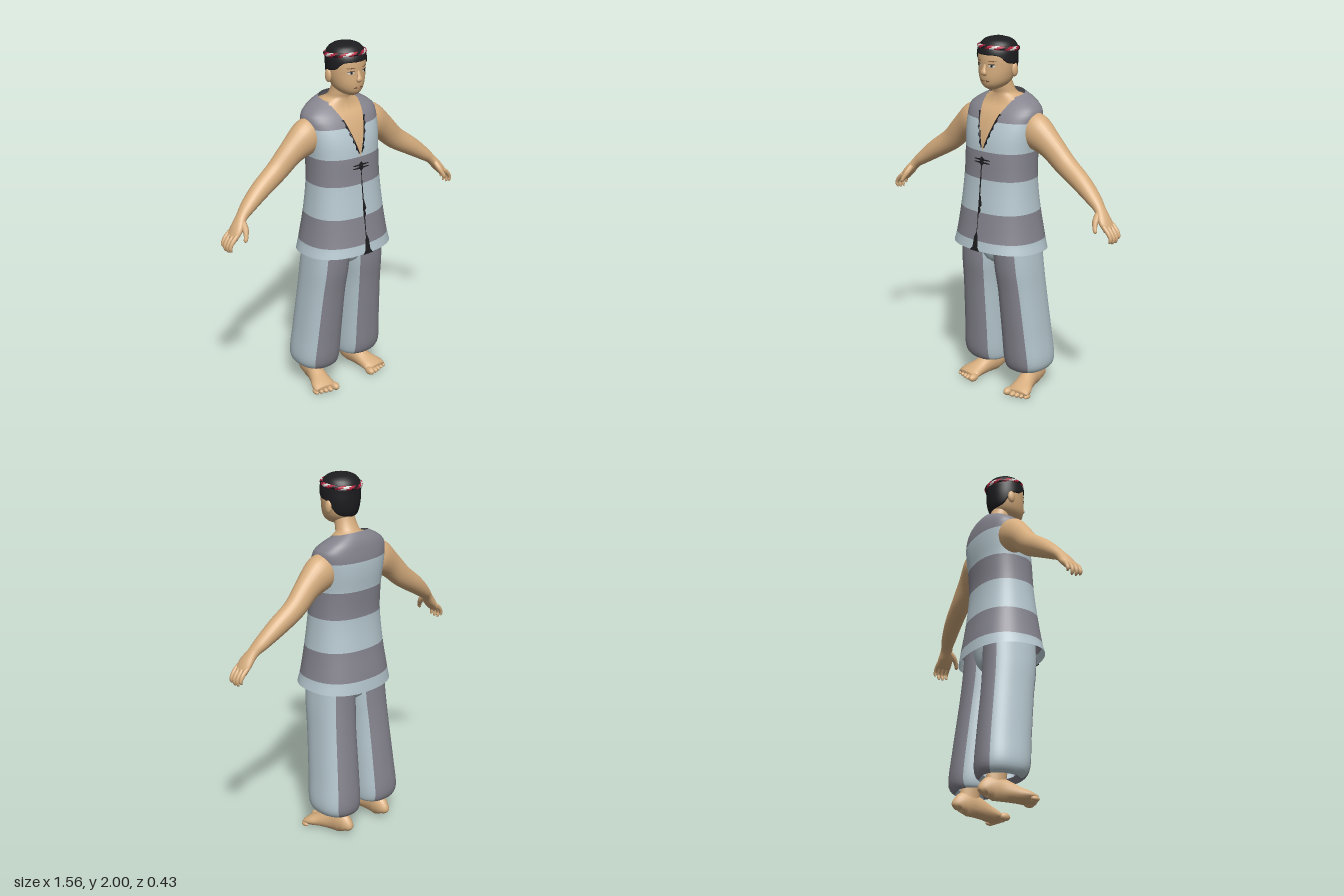
import * as THREE from 'three';

const mat = (name, color, double) => {
  const m = new THREE.MeshStandardMaterial({ color });
  m.name = name;
  if (double) m.side = THREE.DoubleSide;
  return m;
};
const M = {
  skin: mat('skin', 0xd6ad7e),
  light: mat('light cloth', 0xb5c7ce, true),
  dark: mat('grey cloth', 0x85848e, true),
  black: mat('black hair', 0x1d1d20, true),
  red: mat('red cord', 0xb8233f),
  white: mat('white', 0xdcdcd8),
  lip: mat('lips and brows', 0x8a6045),
};

// Hermite interpolation of table rows [key, a, b, ...]
function at(table, k) {
  const n = table.length - 1;
  let i = 0;
  while (i < n - 1 && k > table[i + 1][0]) i++;
  const A = table[i], B = table[i + 1], h = B[0] - A[0];
  const t = THREE.MathUtils.clamp((k - A[0]) / h, 0, 1), t2 = t * t, t3 = t2 * t;
  const P = table[Math.max(i - 1, 0)], Q = table[Math.min(i + 2, n)];
  return A.slice(1).map((a, c) => {
    const b = B[c + 1];
    const ma = (b - P[c + 1]) / (B[0] - P[0]) * h, mb = (Q[c + 1] - a) / (Q[0] - A[0]) * h;
    return (2 * t3 - 3 * t2 + 1) * a + (t3 - 2 * t2 + t) * ma + (3 * t2 - 2 * t3) * b + (t3 - t2) * mb;
  });
}
const indexed = rows => rows.map((r, i) => [i, ...r]);
const range = (n, f) => Array.from({ length: n }, (_, i) => f(i));

// Skin over a stack of rings; pick(row, column) chooses the material
function loft(name, rings, mats, { pick = () => 0, open = false, caps = false, flip = false } = {}) {
  mats = [].concat(mats);
  const n = rings[0].length, pos = rings.flat().flatMap(p => p.toArray()), lists = mats.map(() => []);
  const tri = (m, a, b, c) => lists[m].push(...(flip ? [a, c, b] : [a, b, c]));
  for (let i = 0; i < rings.length - 1; i++)
    for (let j = 0; j < (open ? n - 1 : n); j++) {
      const k = (j + 1) % n, a = i * n + j, b = i * n + k, m = pick(i, j);
      tri(m, a, b, b + n);
      tri(m, a, b + n, a + n);
    }
  if (caps) [0, rings.length - 1].forEach(r => {
    const c = rings[r].reduce((s, p) => s.add(p), new THREE.Vector3()).divideScalar(n);
    const id = pos.length / 3;
    pos.push(...c.toArray());
    for (let j = 0; j < n; j++) {
      const a = r * n + j, b = r * n + (j + 1) % n;
      r ? tri(0, a, b, id) : tri(0, b, a, id);
    }
  });
  const g = new THREE.BufferGeometry();
  g.setAttribute('position', new THREE.Float32BufferAttribute(pos, 3));
  g.setIndex(lists.flat());
  let start = 0;
  lists.forEach((l, m) => { g.addGroup(start, l.length, m); start += l.length; });
  g.computeVertexNormals();
  const mesh = new THREE.Mesh(g, mats.length > 1 ? mats : mats[0]);
  mesh.name = name;
  return mesh;
}

// Tube of elliptical sections along rows [x, y, z, ru, rv]; side is the rv axis
function sweep(name, rows, side, s, material, steps = 6, seg = 16) {
  const T = indexed(rows), N = (rows.length - 1) * steps;
  const P = range(N + 1, i => at(T, i / steps)), C = P.map(p => new THREE.Vector3(p[0], p[1], p[2]));
  const rings = P.map((p, i) => {
    const d = C[Math.min(i + 1, N)].clone().sub(C[Math.max(i - 1, 0)]).normalize();
    const u = side.clone().cross(d).normalize(), v = d.clone().cross(u);
    return range(seg, j => {
      const a = j / seg * Math.PI * 2;
      const q = C[i].clone().addScaledVector(u, p[3] * Math.cos(a)).addScaledVector(v, p[4] * Math.sin(a));
      return new THREE.Vector3(q.x * s, Math.max(q.y, 0), q.z);
    });
  });
  return loft(name, rings, material, { caps: true, flip: s < 0 });
}

// Horizontal section point: half width rx, front zf, back zb
const pw = (v, p) => Math.sign(v) * Math.abs(v) ** p;
const section = (rx, zf, zb, y, a, off = 0, p = 1) => new THREE.Vector3(
  (rx + off) * pw(Math.sin(a), p), y, (zf + zb) / 2 + ((zf - zb) / 2 + off) * pw(Math.cos(a), p));

const HEAD = [[1.725, .02, .095, .03], [1.74, .05, .118, -.01], [1.765, .075, .13, -.045], [1.8, .09, .135, -.065],
  [1.85, .1, .133, -.073], [1.9, .102, .133, -.075], [1.94, .098, .125, -.075], [1.97, .08, .1, -.055],
  [1.985, .055, .078, -.03], [1.995, .012, .035, .01]];
const TORSO = [[.85, .265, .215, -.208], [.91, .25, .205, -.2], [1.07, .225, .182, -.175], [1.25, .208, .16, -.158],
  [1.4, .207, .15, -.165], [1.48, .215, .138, -.172], [1.56, .222, .112, -.172], [1.62, .218, .08, -.162],
  [1.66, .17, .05, -.148], [1.69, .105, .025, -.12]];
const neckline = y => Math.max(0, .09 * (y - 1.4) / .27);

// Thin plate of outline points laid on the front of a body profile
function plate(name, pts, table, p, off, material) {
  const g = new THREE.ShapeGeometry(new THREE.Shape(pts.map(q => new THREE.Vector2(...q))));
  const v = g.attributes.position;
  for (let i = 0; i < v.count; i++) {
    const [rx, zf, zb] = at(table, v.getY(i));
    const c = Math.sqrt(Math.max(0, 1 - Math.abs(v.getX(i) / rx) ** (2 / p)));
    v.setZ(i, (zf + zb) / 2 + (zf - zb) / 2 * c ** p + off);
  }
  g.computeVertexNormals();
  const m = new THREE.Mesh(g, material);
  m.name = name;
  return m;
}
const oval = (x, y, w, h, n = 16) => range(n, i => [x + w * Math.cos(i / n * 2 * Math.PI), y + h * Math.sin(i / n * 2 * Math.PI)]);

function ball(name, x, y, z, sx, sy, sz, material) {
  const m = new THREE.Mesh(new THREE.SphereGeometry(1, 16, 12), material);
  m.name = name;
  m.position.set(x, y, z);
  m.scale.set(sx, sy, sz);
  return m;
}

function buildHead() {
  const g = new THREE.Group(), SEG = 48, ang = j => j / SEG * Math.PI * 2;
  g.name = 'head';
  g.add(loft('face', range(28, i => range(SEG, j => {
    const y = 1.725 + .27 * i / 27;
    return section(...at(HEAD, y), y, ang(j));
  })), M.skin, { caps: true }));
  // Short hair with a lower edge that drops towards the nape
  const EDGE = [[0, 1.915], [.8, 1.91], [1.2, 1.875], [1.7, 1.86], [2.2, 1.795], [3.15, 1.775]];
  g.add(loft('hair', range(20, i => range(SEG, j => {
    const a = ang(j), [low] = at(EDGE, Math.min(a, 2 * Math.PI - a));
    const t = Math.max(0, i - 1) / 18, y = low + (1.995 - low) * t;
    return section(...at(HEAD, y), y + .005 * t, a, i ? .007 : -.004);
  })), M.black, { caps: true }));
  // Twisted headband
  const B = 96;
  g.add(loft('headband', range(B + 1, i => {
    const a = i / B * Math.PI * 2, y = 1.943 + .01 * Math.cos(a), c = section(...at(HEAD, y), y, a, .006);
    return range(8, j => {
      const f = j / 8 * Math.PI * 2, r = .01 * Math.cos(f);
      return c.clone().add(new THREE.Vector3(r * Math.sin(a), -.012 * Math.sin(f), r * Math.cos(a)));
    });
  }), [M.red, M.white, M.black], { pick: (i, j) => [0, 1, 0, 2][Math.floor((i + 2 * j) % 16 / 4)] }));
  // Facial features
  const put = (name, pts, off, m) => g.add(plate(name, pts, HEAD, 1, off, m));
  g.add(sweep('nose', [[0, 1.865, .128, .006, .008], [0, 1.84, .136, .009, .011], [0, 1.82, .141, .011, .018],
    [0, 1.808, .135, .006, .014]], new THREE.Vector3(1, 0, 0), 1, M.skin));
  put('mouth', oval(0, 1.776, .032, .005), .003, M.lip);
  for (const s of [1, -1]) {
    put('eye', oval(s * .043, 1.858, .017, .006), .002, M.white);
    put('iris', oval(s * .043, 1.858, .006, .006), .004, M.black);
    put('eyelid', oval(s * .043, 1.866, .019, .002), .004, M.black);
    put('eyebrow', oval(s * .045, 1.883, .022, .003), .003, M.lip);
    g.add(ball('ear', s * .104, 1.832, .012, .014, .036, .022, M.skin));
  }
  return g;
}

function buildTorso() {
  const g = new THREE.Group(), SEG = 56, P = .85;
  g.name = 'torso';
  const ring = (y, off, gap) => {
    const [rx, zf, zb] = at(TORSO, y);
    const a0 = gap ? Math.asin(Math.min(.85, neckline(y) / rx) ** (1 / P)) : 0;
    const tilt = y < .95 ? (.95 - y) * .12 : y > 1.6 ? (1.6 - y) * .2 : 0;
    return range(SEG + 1, j => {
      const a = a0 + (2 * Math.PI - 2 * a0) * j / SEG;
      return section(rx, zf, zb, y + tilt * Math.cos(a), a, off, P);
    });
  };
  // Sleeveless tunic with horizontal bands and an open neck
  const bounds = [.85, .91, 1.07, 1.25, 1.4, 1.56, 1.69], SUB = 6;
  const ys = bounds.slice(1).flatMap((b, i) => range(SUB, k => bounds[i] + (b - bounds[i]) * k / SUB)).concat(1.69);
  g.add(loft('tunic', ys.map(y => ring(y, 0, true)), [M.light, M.dark], { open: true, pick: i => Math.floor(i / SUB) % 2 }));
  // Chest and neck
  const NECK = [[1.69, .075, .03, -.1], [1.71, .064, .04, -.082], [1.76, .056, .05, -.058], [1.8, .055, .05, -.05]];
  const rings = range(15, i => ring(1.36 + .3 * i / 14, -.009, false));
  NECK.forEach(([y, ...r]) => rings.push(range(SEG + 1, j => section(...r, y, j / SEG * 2 * Math.PI))));
  g.add(loft('chest and neck', rings, M.skin, { open: true }));
  // Dark trim, ties and hem notch
  const put = (name, pts) => g.add(plate(name, pts, TORSO, P, .004, M.black));
  for (const s of [1, -1]) {
    const edge = range(15, i => 1.42 + .013 * i);
    put('neck trim', [...edge.map(y => [s * (neckline(y) - .002), y]),
      ...edge.reverse().map((y, i) => [s * (neckline(y) + (i % 3 ? .006 : .014)), y])]);
  }
  for (const y of [1.34, 1.356]) put('chest tie', [[-.055, y - .002], [0, y - .006], [.055, y - .002], [.055, y + .002], [0, y + .006], [-.055, y + .002]]);
  put('chest knot', oval(0, 1.348, .014, .026, 8));
  put('waist tie', [[-.004, 1.05], [.014, 1.08], [.008, 1.1], [.018, 1.11], [.004, 1.17], [-.005, 1.12]]);
  const seam = range(20, i => .9 + .025 * i);
  put('front seam', [...seam.map(y => [.002, y]), ...seam.reverse().map(y => [-.002, y])]);
  const notch = plate('hem notch', [[-.034, .853], [.034, .853], [.018, .875], [.014, .93], [.003, .96], [-.012, .93], [-.016, .875]], TORSO, P, .007, M.black);
  notch.position.y = .008;
  g.add(notch);
  return g;
}

function buildArm(s) {
  const g = new THREE.Group(), Z = new THREE.Vector3(0, 0, 1);
  g.name = s > 0 ? 'leftArm' : 'rightArm';
  g.add(sweep('arm and palm', [[.15, 1.525, -.038, .09, .07], [.215, 1.507, -.037, .098, .08], [.31, 1.445, -.04, .073, .063],
    [.405, 1.36, -.045, .062, .054], [.52, 1.285, -.036, .052, .05], [.61, 1.22, -.022, .038, .042],
    [.66, 1.178, -.01, .027, .034], [.7, 1.13, .002, .025, .045], [.735, 1.085, .004, .016, .044]], Z, s, M.skin, 5, 24));
  for (let k = 0; k < 4; k++) {
    const z = -.032 + k * .024, d = k === 0 ? .016 : k === 3 ? .008 : 0;
    g.add(sweep('finger', [[.715, 1.115, z, .012, .011], [.748, 1.085, z, .012, .012], [.768 - d / 3, 1.055 + d / 2, z, .01, .011],
      [.765, 1.032 + d, z, .009, .009], [.758, 1.022 + d, z, .003, .003]], Z, s, M.skin, 4, 10));
  }
  g.add(sweep('thumb', [[.668, 1.165, .015, .016, .016], [.675, 1.135, .046, .017, .016], [.685, 1.105, .065, .012, .012],
    [.694, 1.085, .072, .01, .01], [.697, 1.077, .074, .003, .003]], Z, s, M.skin, 4, 10));
  return g;
}

function buildLeg(s) {
  const g = new THREE.Group(), SEG = 48, X = new THREE.Vector3(1, 0, 0);
  g.name = s > 0 ? 'leftLeg' : 'rightLeg';
  // Wide trouser leg with vertical stripes: [y, inner x, outer x, front z, back z]
  const LEG = indexed([[.15, .06, .215, 0, -.165], [.125, .032, .24, .035, -.19], [.18, .018, .274, .068, -.214],
    [.35, .015, .262, .085, -.2], [.6, .012, .243, .11, -.172], [.76, .002, .233, .132, -.158], [.95, .002, .215, .14, -.15]]);
  g.add(loft('trouser leg', range(31, i => range(SEG, j => {
    const [y, a, b, zf, zb] = at(LEG, i / 5), q = section((b - a) / 2, zf, zb, y, j / SEG * 2 * Math.PI, 0, .85);
    q.x = s * (q.x + (a + b) / 2);
    return q;
  })), [M.light, M.dark], { flip: s < 0, pick: (i, j) => Math.abs(Math.cos((j + .5) / SEG * 2 * Math.PI)) > Math.cos(.655) ? 1 : 0 }));
  // Bare foot
  g.add(sweep('ankle', [[.148, .05, -.11, .055, .04], [.147, .1, -.108, .056, .038], [.146, .16, -.1, .055, .042], [.146, .26, -.09, .058, .05]], X, s, M.skin));
  g.add(sweep('foot', [[.145, .03, -.187, .014, .015], [.145, .048, -.175, .042, .032], [.147, .065, -.13, .065, .042],
    [.155, .06, -.07, .06, .045], [.17, .043, 0, .043, .055], [.183, .031, .05, .031, .068], [.187, .023, .085, .018, .066]], X, s, M.skin));
  for (let k = 0; k < 5; k++) {
    const r = k ? .0165 - k * .001 : .022;
    g.add(ball('toe', s * (k ? .14 + k * .0265 : .131), r, .092 - k * .007, r, r, .033 - k * .002, M.skin));
  }
  return g;
}

export function createModel() {
  const model = new THREE.Group();
  model.name = 'barefoot figure';
  model.add(buildHead(), buildTorso());
  for (const s of [1, -1]) model.add(buildArm(s), buildLeg(s));
  // Trouser seat joining the legs
  const SEAT = [[.73, .015, .02, -.04], [.78, .07, .1, -.12], [.86, .15, .125, -.145], [.95, .2, .138, -.148]];
  model.add(loft('trouser seat', range(10, i => range(32, j => {
    const y = .73 + .22 * i / 9;
    return section(...at(SEAT, y), y, j / 32 * 2 * Math.PI);
  })), M.light, { caps: true }));
  return model;
}
